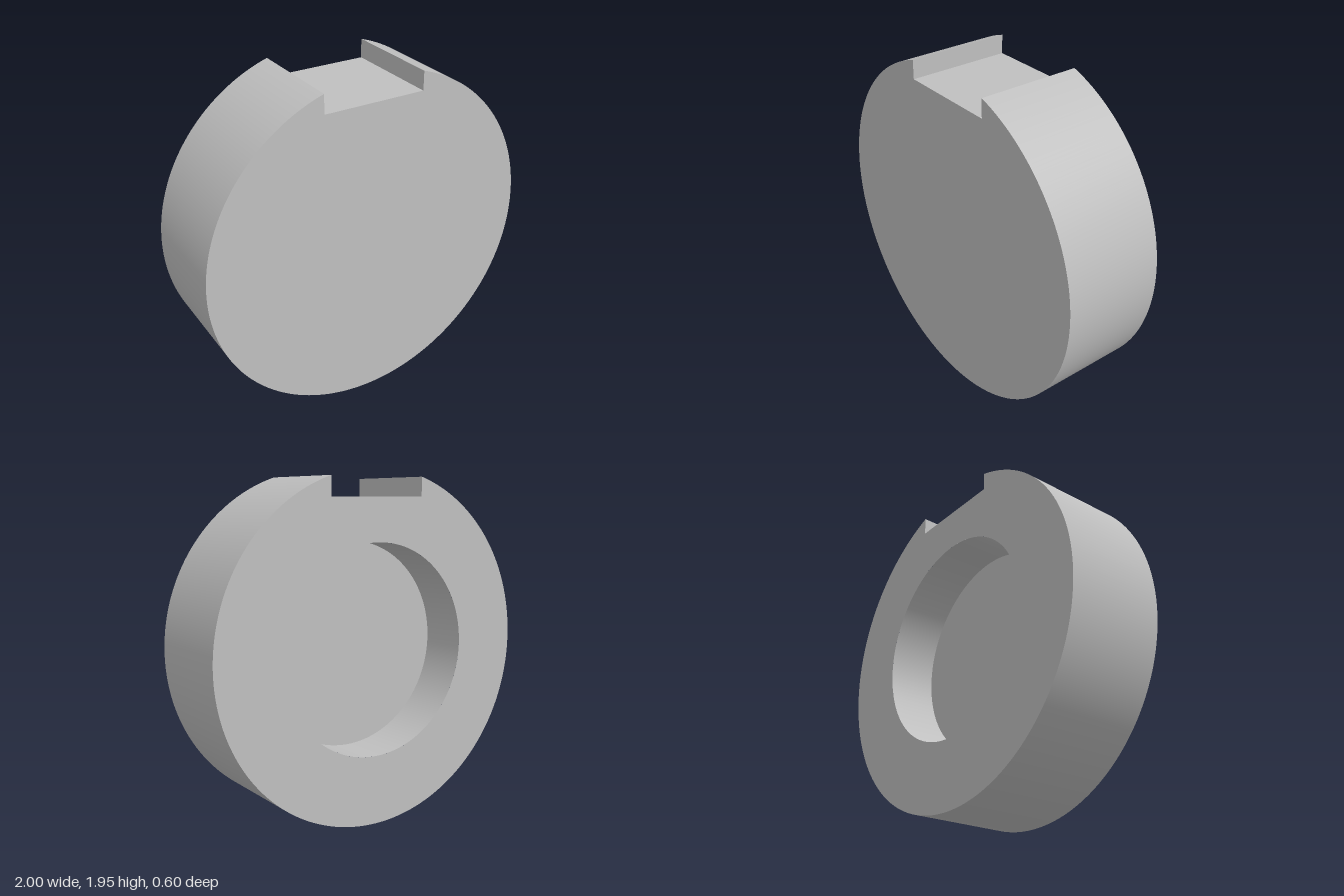
import * as THREE from 'three';
import { toCreasedNormals } from 'three/addons/utils/BufferGeometryUtils.js';

const R = 1, HALF = 0.3;              // disc radius, half thickness
const SLOT_X = 0.3, SLOT_Y = 0.845;   // slot half width, floor height above centre
const BORE_R = 0.6, BORE_DEPTH = 0.29;
const SEGMENTS = 128;

// Disc outline with a rectangular slot cut in the top
function discShape() {
  const edge = Math.acos(SLOT_X / R);
  const shape = new THREE.Shape();
  shape.moveTo(SLOT_X, SLOT_Y);
  shape.lineTo(-SLOT_X, SLOT_Y);
  shape.absarc(0, 0, R, Math.PI - edge, 2 * Math.PI + edge, false);
  shape.closePath();
  return shape;
}

// Drop the triangles that lie wholly in the plane z = value
function withoutPlane(geometry, value) {
  const src = geometry.index ? geometry.toNonIndexed() : geometry;
  const p = src.attributes.position;
  const kept = [];
  for (let i = 0; i < p.count; i += 3) {
    if ([0, 1, 2].every((k) => Math.abs(p.getZ(i + k) - value) < 1e-5)) continue;
    for (let k = 0; k < 3; k++) kept.push(p.getX(i + k), p.getY(i + k), p.getZ(i + k));
  }
  const out = new THREE.BufferGeometry();
  out.setAttribute('position', new THREE.Float32BufferAttribute(kept, 3));
  return out;
}

export function createModel() {
  const group = new THREE.Group();
  group.name = 'slottedDisc';
  const grey = new THREE.MeshStandardMaterial({ color: 0xbfbfbf });
  grey.name = 'grey';

  const add = (name, geometry) => {
    const mesh = new THREE.Mesh(toCreasedNormals(geometry, Math.PI / 6), grey);
    mesh.name = name;
    mesh.position.y = R;
    group.add(mesh);
  };

  // Front face, rim and slot
  const body = new THREE.ExtrudeGeometry(discShape(), {
    depth: 2 * HALF, bevelEnabled: false, curveSegments: SEGMENTS,
  }).translate(0, 0, -HALF);
  add('discBody', withoutPlane(body, -HALF));

  // Back face with a round opening
  const back = discShape();
  back.holes.push(new THREE.Path().absarc(0, 0, BORE_R, 0, 2 * Math.PI, true));
  add('backFace', new THREE.ShapeGeometry(back, SEGMENTS).rotateY(Math.PI).translate(0, 0, -HALF));

  // Blind round recess: floor and inward-facing wall
  const floorZ = -HALF + BORE_DEPTH;
  const profile = [[0, floorZ], [BORE_R, floorZ], [BORE_R, -HALF]].map(([r, z]) => new THREE.Vector2(r, z));
  add('backRecess', new THREE.LatheGeometry(profile, SEGMENTS).rotateX(Math.PI / 2));

  return group;
}
